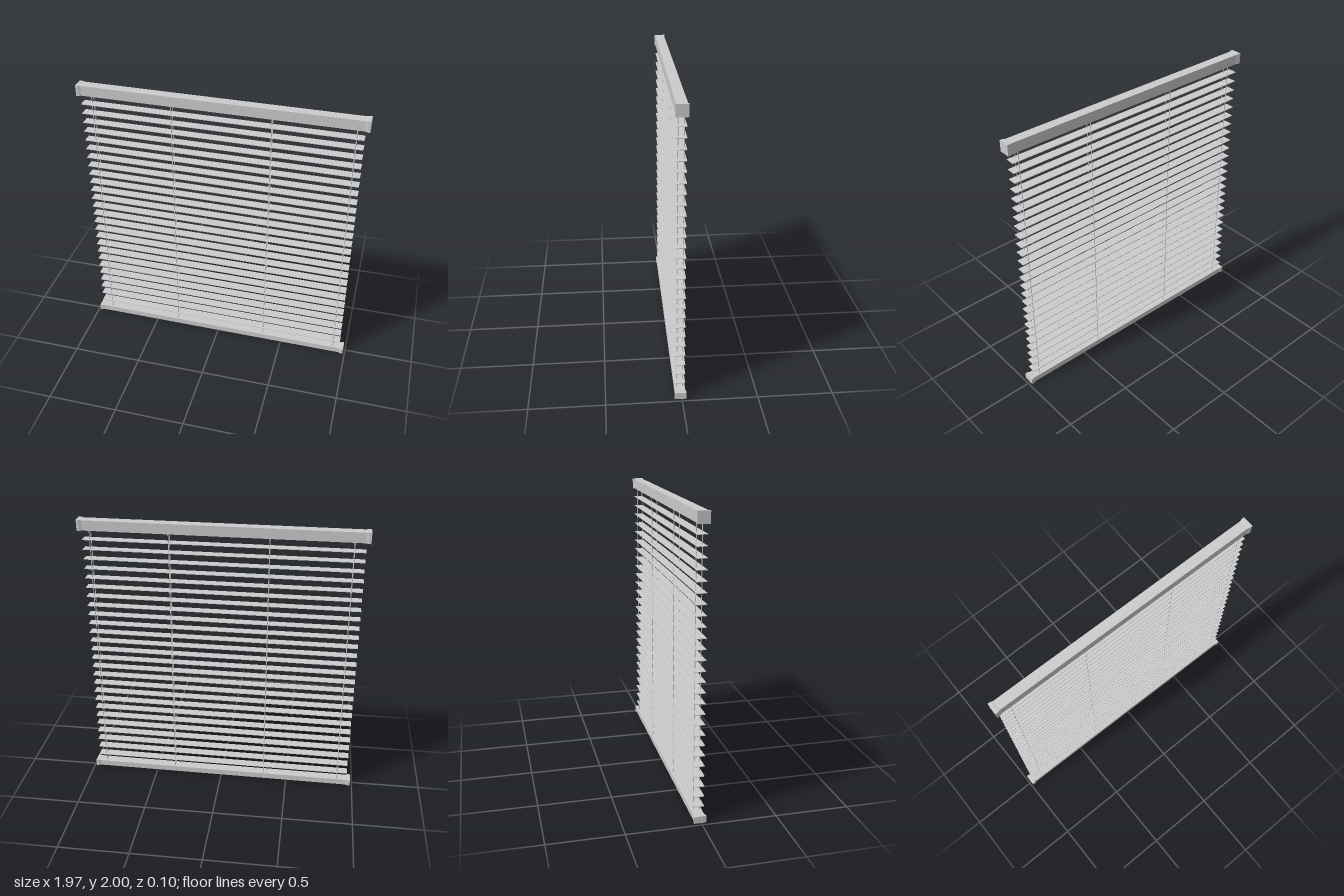
import * as THREE from 'three';

const material = new THREE.MeshStandardMaterial({ color: 0xcccccc, flatShading: true });

function addMesh(parent, name, geometry, x, y, z) {
  const mesh = new THREE.Mesh(geometry, material);
  mesh.name = name;
  mesh.position.set(x, y, z);
  parent.add(mesh);
  return mesh;
}

// End cap: a straight outer band that tapers inwards to the rail's section
function capGeometry(width, height, depth, railHeight, railDepth) {
  const geometry = new THREE.BoxGeometry(width, height, depth, 2, 1, 1);
  const p = geometry.attributes.position;
  for (let i = 0; i < p.count; i++) {
    const x = p.getX(i);
    if (x < -0.001) {
      p.setY(i, p.getY(i) * railHeight / height);
      p.setZ(i, p.getZ(i) * railDepth / depth);
    }
  }
  geometry.computeVertexNormals();
  return geometry;
}

// Rail with a flared cap on both ends
function makeRail(name, bottom, top) {
  const rail = new THREE.Group();
  rail.name = name;
  const height = top - bottom, railHeight = height - 0.005, railDepth = 0.069;
  const capWidth = 0.034, halfLength = 0.986;
  addMesh(rail, name + 'Body', new THREE.BoxGeometry(2 * (halfLength - capWidth), railHeight, railDepth), 0, 0, 0);
  const cap = capGeometry(capWidth, height, 0.08, railHeight, railDepth);
  for (const side of [1, -1]) {
    const mesh = addMesh(rail, name + (side > 0 ? 'LeftCap' : 'RightCap'), cap, side * (halfLength - capWidth / 2), 0, 0);
    if (side < 0) mesh.rotation.y = Math.PI;
  }
  rail.position.y = (bottom + top) / 2;
  return rail;
}

export function createModel() {
  const model = new THREE.Group();
  model.name = 'windowBlind';

  // The whole blind hangs at a very slight yaw
  const blind = new THREE.Group();
  blind.name = 'blind';
  blind.rotation.y = -0.0103;
  model.add(blind);

  blind.add(makeRail('headRail', 1.923, 2.0));
  blind.add(makeRail('bottomRail', 0.006, 0.053));

  // Horizontal slats
  const slats = new THREE.Group();
  slats.name = 'slats';
  const slat = new THREE.BoxGeometry(1.916, 0.004, 0.065);
  for (let i = 0; i < 26; i++) addMesh(slats, 'slat', slat, -0.002, 0.109 + i * 0.07, 0);
  blind.add(slats);

  // Ladder cords in front and back pairs
  const cords = new THREE.Group();
  cords.name = 'cords';
  const cord = new THREE.CylinderGeometry(0.003, 0.003, 1.94, 8);
  for (const x of [-0.884, -0.326, 0.358, 0.905]) {
    for (const z of [-0.019, 0.019]) addMesh(cords, 'cord', cord, x, 0.97, z);
  }
  blind.add(cords);

  return model;
}
